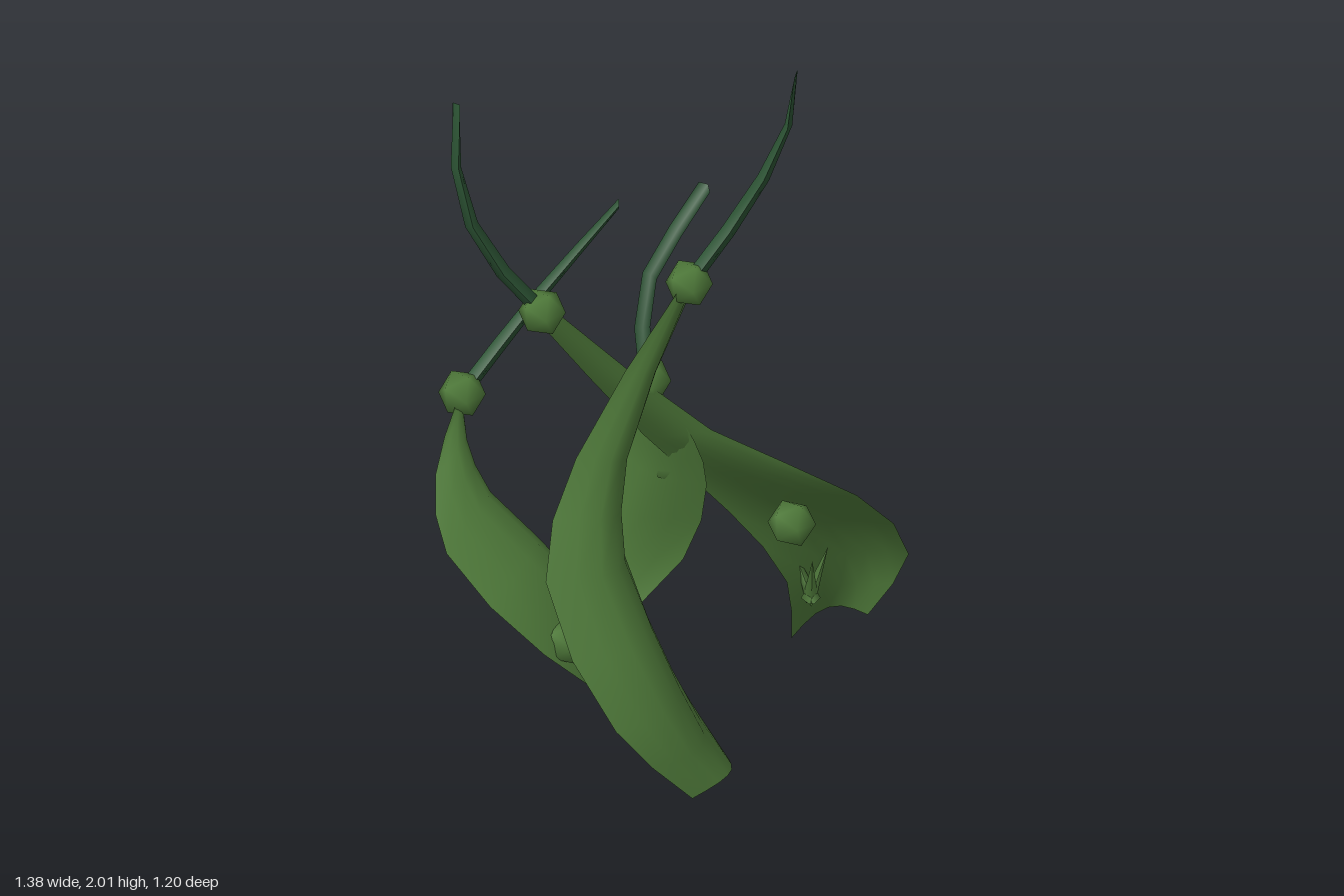
import * as THREE from 'three';
import { mergeVertices } from 'three/addons/utils/BufferGeometryUtils.js';

const V = (a) => new THREE.Vector3(...a);
const curveThrough = (points) => new THREE.CatmullRomCurve3(points);

// Leaf blade: sheet between two edge curves that start at a narrow neck, bowed
// across its width; bowSteps gives the bow at one third, two thirds and the lip
function bladeGeometry(tip, edgeA, edgeB, bulge, bowSteps) {
  const rows = 8, cols = 6, pos = [], idx = [];
  const neck = V(edgeA[0]).sub(V(edgeB[0])).setLength(0.035);
  const a = curveThrough([V(tip).add(neck), ...edgeA.map(V)]);
  const b = curveThrough([V(tip).sub(neck), ...edgeB.map(V)]);
  const bow = V(bulge), steps = [0, ...bowSteps];
  for (let r = 0; r <= rows; r++) {
    const t = r / rows, s = Math.min(2, Math.floor(t * 3));
    const amount = THREE.MathUtils.lerp(steps[s], steps[s + 1], t * 3 - s);
    for (let c = 0; c <= cols; c++) {
      const u = c / cols, arch = Math.sin(u * Math.PI);
      const p = a.getPoint(t).lerp(b.getPoint(t), u).addScaledVector(bow, amount * arch);
      if (r === rows) p.y = 0.03 * arch; // notched lower lip
      pos.push(p.x, p.y, p.z);
      if (r && c) {
        const k = r * (cols + 1) + c, up = k - cols - 1;
        idx.push(up - 1, k - 1, up, up, k - 1, k);
      }
    }
  }
  const g = new THREE.BufferGeometry();
  g.setAttribute('position', new THREE.Float32BufferAttribute(pos, 3));
  g.setIndex(idx);
  g.computeVertexNormals();
  return g;
}

// Tendril: thin four-sided tube that flattens toward its end along one level direction
function tendrilGeometry(points, flatAngle) {
  const curve = curveThrough(points.map(V));
  const seg = 4, sides = 4;
  const g = new THREE.TubeGeometry(curve, seg, 0.023, sides);
  const axis = new THREE.Vector3(Math.cos(flatAngle), 0, Math.sin(flatAngle));
  const at = g.attributes.position, p = new THREE.Vector3();
  for (let i = 0; i < at.count; i++) {
    const t = Math.floor(i / (sides + 1)) / seg;
    const mid = curve.getPointAt(t);
    p.fromBufferAttribute(at, i).sub(mid);
    p.addScaledVector(axis, -p.dot(axis) * t * t).add(mid);
    at.setXYZ(i, p.x, p.y, p.z);
  }
  g.computeVertexNormals();
  return g;
}

// Bud: small low-poly ball with smooth normals
function budGeometry() {
  const g = new THREE.IcosahedronGeometry(0.07, 0);
  g.deleteAttribute('normal');
  g.deleteAttribute('uv');
  const ball = mergeVertices(g);
  ball.computeVertexNormals();
  return ball;
}

export function createModel() {
  const leafGreen = new THREE.MeshStandardMaterial({ color: 0x4f7a3a, side: THREE.DoubleSide });
  leafGreen.name = 'leafGreen';
  const tendrilGreen = new THREE.MeshStandardMaterial({ color: 0x2d5535, side: THREE.DoubleSide });
  tendrilGreen.name = 'tendrilGreen';

  const model = new THREE.Group();
  model.name = 'leafCluster';
  const add = (parent, name, geometry, material) => {
    const mesh = new THREE.Mesh(geometry, material);
    mesh.name = name;
    parent.add(mesh);
    return mesh;
  };
  const bud = budGeometry();

  // A leaf has a blade, a bud at its tip and a tendril growing from the bud
  const addLeaf = (name, tip, edgeA, edgeB, bulge, tendril, flatAngle, bowSteps = [0.6, 1, 0.35]) => {
    const leaf = new THREE.Group();
    leaf.name = name;
    add(leaf, 'blade', bladeGeometry(tip, edgeA, edgeB, bulge, bowSteps), leafGreen);
    const ball = add(leaf, 'tipBud', bud, leafGreen);
    ball.position.set(...tip);
    ball.rotation.set(0.5, 0.3, 0.3);
    add(leaf, 'tendril', tendrilGeometry([tip, ...tendril], flatAngle), tendrilGreen);
    model.add(leaf);
  };

  addLeaf('frontLeaf', [0.03, 1.34, -0.03],
    [[-0.31, 0.95, 0.27], [-0.41, 0.67, 0.48], [-0.22, 0.25, 0.6], [0, 0, 0.54]],
    [[-0.16, 0.87, 0.07], [-0.19, 0.62, 0.11], [-0.07, 0.3, 0.2], [0.12, 0, 0.31]],
    [0.13, 0, 0.11],
    [[0.2, 1.57, -0.07], [0.305, 1.79, -0.06], [0.33, 2, -0.01]], 0.3);

  addLeaf('rightLeaf', [-0.6, 0.93, -0.19],
    [[-0.69, 0.78, 0.02], [-0.67, 0.62, 0.19], [-0.4, 0.34, 0.29], [-0.1, 0, 0.04]],
    [[-0.6, 0.78, -0.19], [-0.56, 0.6, -0.2], [-0.3, 0.29, -0.21], [-0.05, 0, -0.21]],
    [0.1, 0.1, 0],
    [[-0.38, 1.14, -0.35], [-0.14, 1.38, -0.45]], 0);

  addLeaf('leftLeaf', [-0.39, 1.3, 0.04],
    [[0.1, 0.81, -0.15], [0.52, 0.52, -0.28], [0.68, 0.23, -0.47], [0.57, 0, -0.55]],
    [[-0.09, 0.8, -0.15], [0.16, 0.48, -0.28], [0.33, 0.2, -0.38], [0.345, 0, -0.42]],
    [0, 0, -0.1],
    [[-0.56, 1.53, 0.07], [-0.63, 1.74, 0.06], [-0.63, 1.95, 0.01]], -0.6, [-0.3, 0.9, 0.6]);

  addLeaf('backLeaf', [-0.08, 0.98, -0.14],
    [[-0.12, 0.8, -0.34], [-0.13, 0.65, -0.46], [-0.24, 0.24, -0.6], [-0.37, 0, -0.55]],
    [[0.05, 0.79, -0.13], [0.09, 0.62, -0.18], [0.03, 0.34, -0.27], [-0.27, 0, -0.32]],
    [-0.09, 0, 0.07],
    [[-0.08, 1.2, -0.26], [0.1, 1.44, -0.42]], -0.9);

  // Loose buds resting on the blades
  for (const p of [[0.33, 0.49, -0.18], [0, 0.66, -0.26], [-0.33, 0.34, 0.21]]) {
    const ball = add(model, 'sideBud', bud, leafGreen);
    ball.position.set(...p);
    ball.rotation.set(0.4, 0.3, 0.2);
  }

  // Small sprout of spikes inside the left leaf
  const spikeGeometry = new THREE.ConeGeometry(0.025, 0.17, 3);
  for (let i = 0; i < 3; i++) {
    const turn = i * Math.PI * 2 / 3;
    const spike = add(model, 'sproutSpike', spikeGeometry, leafGreen);
    spike.position.set(0.4 + 0.025 * Math.sin(turn), 0.2, -0.41 + 0.025 * Math.cos(turn));
    spike.rotation.set(0.4 * Math.cos(turn), 0, -0.4 * Math.sin(turn));
  }
  return model;
}
